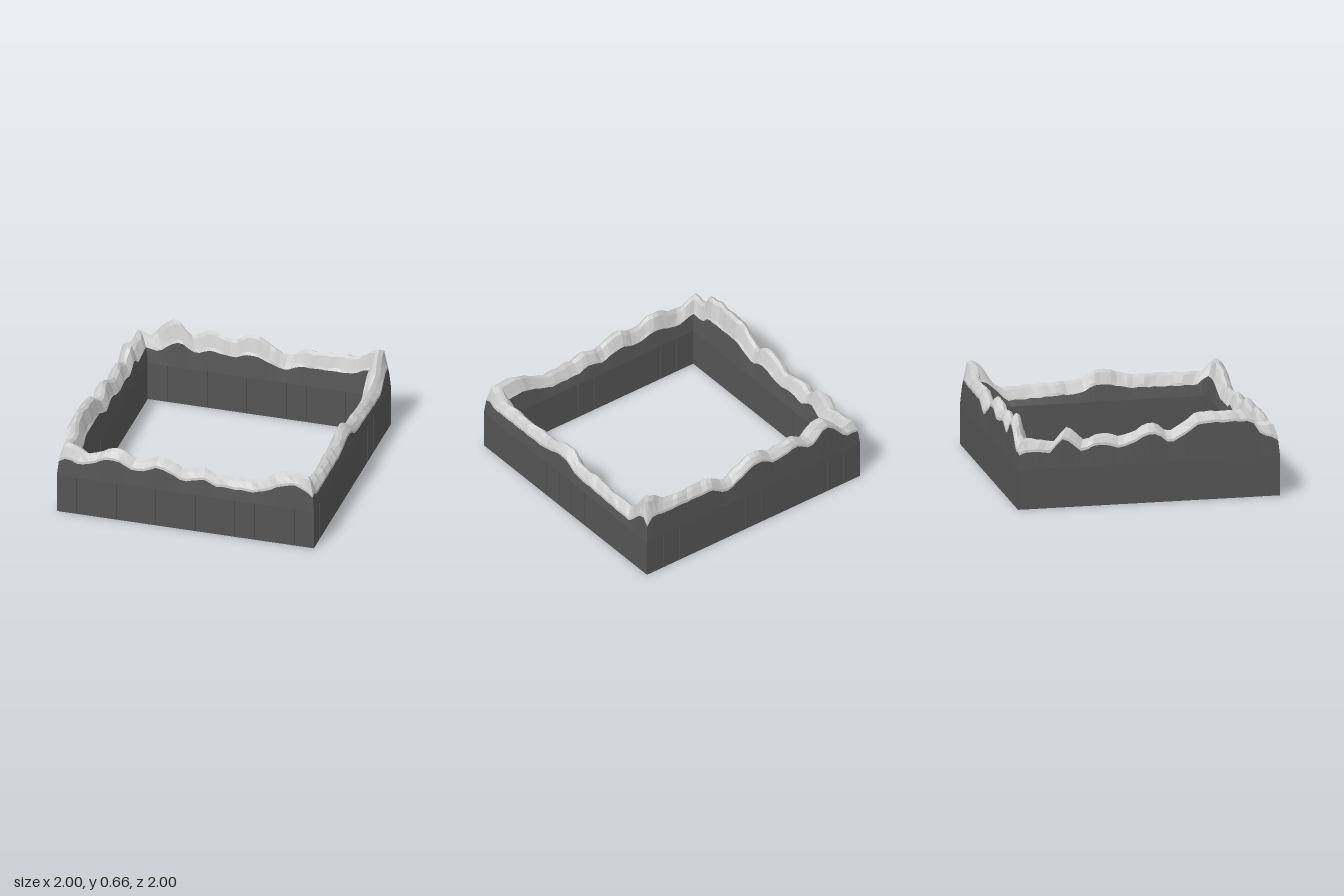
import * as THREE from 'three';

const N = 13;               // blocks per side
const W = 2 / N;            // block width, also the wall thickness
const BASE = 0.307;         // block height
const STEPS = 42;           // ridge stations per side

// Peaks and saddles [position, height] along each side, walking front, right, back, left
const CRESTS = [
  [[-0.92, 0.56], [-0.76, 0.495], [-0.54, 0.57], [-0.35, 0.505], [-0.2, 0.555], [0, 0.48], [0.12, 0.515],
    [0.22, 0.475], [0.47, 0.47], [0.8, 0.585], [0.92, 0.57]],
  [[-0.92, 0.57], [-0.82, 0.48], [-0.3, 0.485], [-0.05, 0.54], [0.15, 0.46], [0.7, 0.44], [0.92, 0.66]],
  [[-0.92, 0.66], [-0.76, 0.575], [-0.35, 0.57], [-0.24, 0.5], [0.06, 0.63], [0.2, 0.57], [0.4, 0.61],
    [0.5, 0.55], [0.65, 0.66], [0.84, 0.5], [0.92, 0.53]],
  [[-0.92, 0.53], [-0.7, 0.5], [-0.61, 0.6], [-0.47, 0.5], [-0.35, 0.54], [-0.2, 0.51], [0.04, 0.6],
    [0.15, 0.53], [0.4, 0.66], [0.72, 0.66], [0.82, 0.55], [0.92, 0.56]],
];

// Rounded interpolation between the peaks and saddles of one side
function crestHeight(table, s) {
  let i = 0;
  while (i < table.length - 2 && table[i + 1][0] < s) i++;
  const [a, ha] = table[i], [b, hb] = table[i + 1];
  return THREE.MathUtils.lerp(ha, hb, THREE.MathUtils.smoothstep(s, a, b));
}

// Cross-section of the ridge as [inset from outer edge, height], outside to inside
function section(side, t) {
  const corner = Math.abs(t) ** 14;
  const fade = 1 - corner;
  const h = crestHeight(CRESTS[side], t * 0.92) + fade * 0.004 * Math.sin(t * 46 + side);
  const outer = h - 0.075 - corner * Math.max(0, h - 0.48) * 0.8;
  const inner = h - 0.09 - Math.max(0, h - 0.5) * 0.4;
  const w = fade * (0.007 * Math.sin(t * 17 + side * 2) + 0.005 * Math.sin(t * 41 + side));
  return [
    [0, BASE], [0.012, outer], [0.014, outer + 0.02], [0.042 + w, h - 0.018], [0.07 + w, h],
    [0.094 + w, h - 0.018], [0.124 + w * 0.6, inner + 0.02], [0.134, inner], [W, BASE],
  ];
}

// Closed ring of stations; insets shrink the square, which mitres the corners
function stations() {
  const rings = [];
  for (let side = 0; side < 4; side++) {
    const c = [1, 0, -1, 0][side], n = [0, 1, 0, -1][side];
    for (let i = 0; i < STEPS; i++) {
      const t = -1 + (2 * i) / STEPS;
      rings.push(section(side, t).map(([d, y]) => {
        const x = t * (1 - d), z = 1 - d;
        return [x * c + z * n, y, z * c - x * n];
      }));
    }
  }
  return rings;
}

// Skin one band of the cross-section around the whole ring
function band(rings, from, to, material, name) {
  const pos = [], idx = [], k = to - from + 1, count = rings.length;
  rings.forEach((r) => r.slice(from, to + 1).forEach((p) => pos.push(...p)));
  for (let i = 0; i < count; i++) {
    for (let j = 0; j < k - 1; j++) {
      const a = i * k + j, b = ((i + 1) % count) * k + j;
      idx.push(a, b, a + 1, b, b + 1, a + 1);
    }
  }
  const g = new THREE.BufferGeometry();
  g.setAttribute('position', new THREE.Float32BufferAttribute(pos, 3));
  g.setIndex(idx);
  g.computeVertexNormals();
  const mesh = new THREE.Mesh(g, material);
  mesh.name = name;
  return mesh;
}

export function createModel() {
  const model = new THREE.Group();
  model.name = 'mountainBorder';
  const stone = new THREE.MeshStandardMaterial({ color: 0x555555 });
  const rock = new THREE.MeshStandardMaterial({ color: 0x555555, flatShading: true, side: THREE.DoubleSide });
  const cap = new THREE.MeshStandardMaterial({ color: 0xcccccc, flatShading: true, side: THREE.DoubleSide });

  // Square frame of base blocks with hairline joints
  const base = new THREE.Group();
  base.name = 'baseBlocks';
  const block = new THREE.BoxGeometry(W - 0.002, BASE, W - 0.002);
  for (let i = 0; i < N; i++) {
    for (let j = 0; j < N; j++) {
      if (i > 0 && i < N - 1 && j > 0 && j < N - 1) continue;
      const mesh = new THREE.Mesh(block, stone);
      mesh.name = 'baseBlock';
      mesh.position.set(-1 + W * (i + 0.5), BASE / 2, -1 + W * (j + 0.5));
      base.add(mesh);
    }
  }
  model.add(base);

  // Dark rock walls with a pale cap following the crest
  const rings = stations();
  model.add(
    band(rings, 0, 1, rock, 'outerRockWall'),
    band(rings, 1, 7, cap, 'ridgeCap'),
    band(rings, 7, 8, rock, 'innerRockWall'),
  );
  return model;
}
